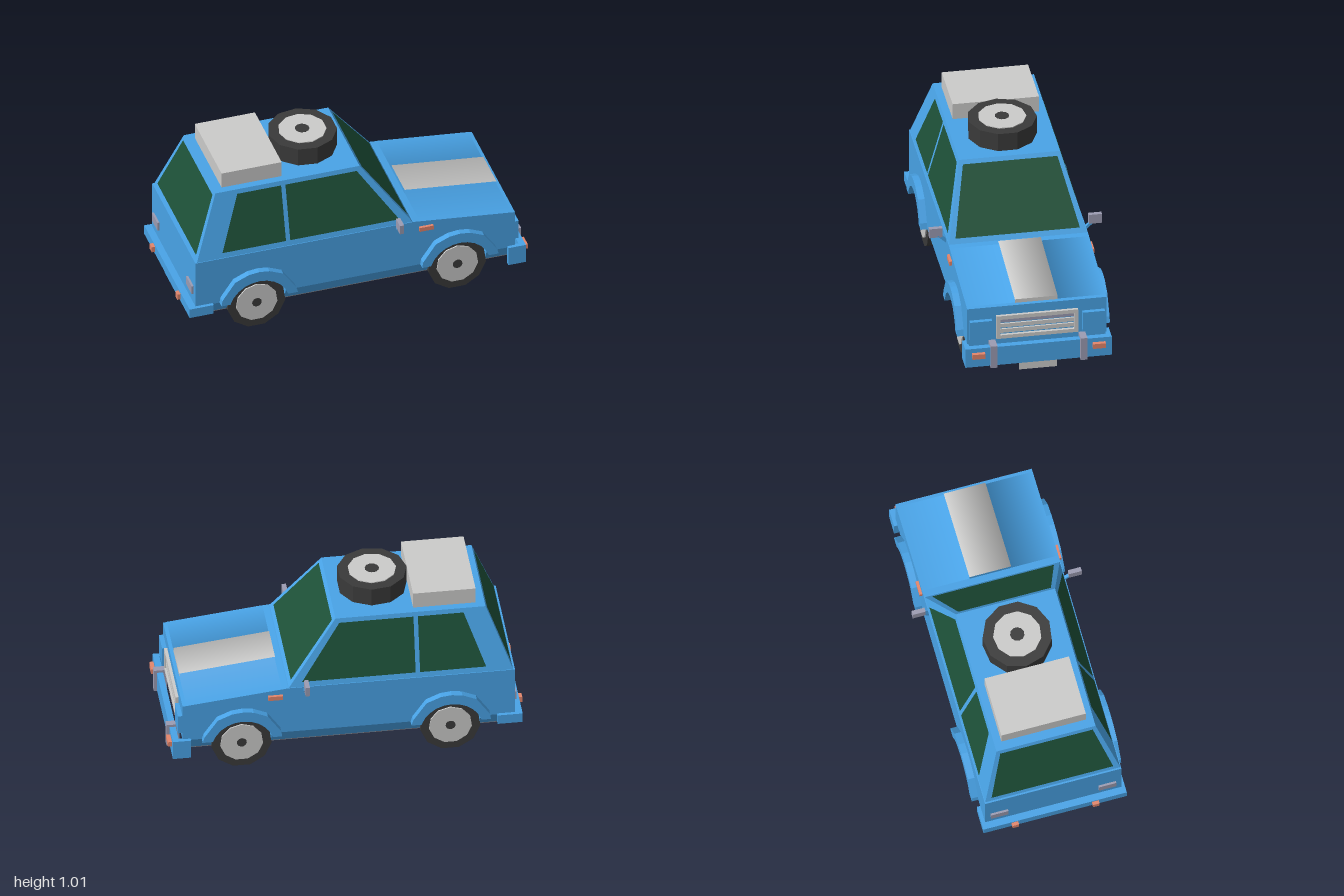
import * as THREE from 'three';

const mat = (name, color, side = THREE.FrontSide) => {
  const m = new THREE.MeshStandardMaterial({ color, side });
  m.name = name;
  return m;
};

export function createModel() {
  const car = new THREE.Group();
  car.name = 'car';
  const blue = mat('blue paint', 0x49a4e8);
  const glass = mat('green glass', 0x1d5038, THREE.DoubleSide);
  const white = mat('pale grey', 0xcbcbca);
  const rubber = mat('black rubber', 0x3a3a3a);
  const steel = mat('steel', 0x9c9cb2);
  const orange = mat('orange lens', 0xe3866c);
  const under = mat('dark underside', 0x87878f);

  const add = (name, geo, material, parent = car) => {
    const m = new THREE.Mesh(geo, material);
    m.name = name;
    parent.add(m);
    return m;
  };
  const box = (name, m, x0, x1, y0, y1, z0, z1) =>
    add(name, new THREE.BoxGeometry(x1 - x0, y1 - y0, z1 - z0)
      .translate((x0 + x1) / 2, (y0 + y1) / 2, (z0 + z1) / 2), m);
  const pair = (name, m, x0, x1, y0, y1, z0, z1) => {
    box(name + 'Left', m, x0, x1, y0, y1, z0, z1);
    box(name + 'Right', m, x0, x1, y0, y1, -z1, -z0);
  };
  // Box whose bottom and top rectangles differ: [x0, x1, halfWidth]
  const taper = (name, m, y0, y1, bottom, top) => {
    const g = new THREE.BoxGeometry(1, 1, 1), p = g.attributes.position;
    for (let i = 0; i < p.count; i++) {
      const r = p.getY(i) > 0 ? top : bottom;
      p.setXYZ(i, p.getX(i) < 0 ? r[0] : r[1], p.getY(i) > 0 ? y1 : y0, Math.sign(p.getZ(i)) * r[2]);
    }
    g.computeVertexNormals();
    return add(name, g, m);
  };
  const quad = (name, m, pts) => {
    const g = new THREE.BufferGeometry();
    g.setAttribute('position', new THREE.Float32BufferAttribute(pts.flat(), 3));
    g.setIndex([0, 1, 2, 0, 2, 3]);
    g.computeVertexNormals();
    return add(name, g, m);
  };
  const prism = (r, h, n) => {
    const g = new THREE.CylinderGeometry(r, r, h, n, 1, false, Math.PI / n).toNonIndexed();
    g.computeVertexNormals();
    return g;
  };
  const extrude = (shape, z0, z1) =>
    new THREE.ExtrudeGeometry(shape, { depth: z1 - z0, bevelEnabled: false, curveSegments: 5 }).translate(0, 0, z0);

  const wheelX = [-0.58, 0.588], wheelY = 0.163, archR = 0.176, sillY = 0.215;
  const startA = Math.asin((sillY - wheelY) / archR);
  const archPoints = (cx, r, a0, n = 10) => Array.from({ length: n + 1 }, (_, i) => {
    const a = Math.PI - a0 - (Math.PI - 2 * a0) * i / n;
    return new THREE.Vector2(cx + r * Math.cos(a), wheelY + r * Math.sin(a));
  });

  // Lower body with wheel arches
  const V = (x, y) => new THREE.Vector2(x, y);
  const side = new THREE.Shape([
    V(-0.94, sillY), ...archPoints(wheelX[0], archR, startA), ...archPoints(wheelX[1], archR, startA),
    V(0.92, sillY), V(0.92, 0.449), V(0.33, 0.515), V(-0.94, 0.515)]);
  add('body', extrude(side, -0.392, 0.392), blue);

  // Inward sloping sills and floor between the wheels
  const cut = 0.167;
  [[-0.95, wheelX[0] - cut], [wheelX[0] + cut, wheelX[1] - cut], [wheelX[1] + cut, 0.9]].forEach(([a, b]) => {
    taper('sill', blue, 0.14, sillY, [a, b, 0.355], [a, b, 0.392]);
    box('floor', under, a, b, 0.136, 0.14, -0.355, 0.355);
  });

  // Flared wheel arches
  wheelX.forEach(cx => {
    const outer = [[-0.22, 0.215], [-0.215, 0.25], [-0.14, 0.36], [-0.06, 0.395], [0, 0.402],
      [0.06, 0.395], [0.14, 0.36], [0.215, 0.25], [0.225, 0.215]].map(([x, y]) => V(cx + x, y));
    const flare = new THREE.Shape([...outer, ...archPoints(cx, archR, startA).reverse()]);
    add('archFlareLeft', extrude(flare, 0.385, 0.43), blue);
    add('archFlareRight', extrude(flare, -0.43, -0.385), blue);
  });

  // Cabin
  const y0 = 0.515, y1 = 0.89;
  taper('cabin', blue, y0, y1, [-0.93, 0.325, 0.388], [-0.79, 0.05, 0.285]);
  const lerp = (a, b, y) => a + (b - a) * (y - y0) / (y1 - y0);
  const windowPane = (name, pts) => [1, -1].forEach(s =>
    quad(name + (s > 0 ? 'Left' : 'Right'), glass,
      pts.map(([x, y]) => [x, y, s * (lerp(0.388, 0.285, y) + 0.003)])));
  windowPane('rearSideWindow', [[-0.78, 0.545], [-0.41, 0.545], [-0.41, 0.866], [-0.665, 0.866]]);
  windowPane('frontSideWindow', [[-0.385, 0.545], [0.25, 0.545], [0.03, 0.866], [-0.385, 0.866]]);
  const endPane = [[0.541, 0.35], [0.541, -0.35], [0.87, -0.266], [0.87, 0.266]];
  quad('windscreen', glass, endPane.map(([y, z]) => [lerp(0.325, 0.05, y) + 0.003, y, z]));
  quad('rearWindow', glass, endPane.map(([y, z]) => [lerp(-0.93, -0.79, y) - 0.003, y, z]));

  // Bonnet with a raised centre stripe, its normals rounded across the stripe edges
  const zs = [-0.39, -0.12, -0.12, 0.12, 0.12, 0.39], tilt = [0, -0.7, -0.7, 0.7, 0.7, 0];
  const section = (x, base, top) => zs.flatMap((z, i) => [x, i === 2 || i === 3 ? top : base, z]);
  const normals = tilt.flatMap(t => new THREE.Vector3(0.1, Math.sqrt(1 - t * t), t).normalize().toArray());
  const hood = new THREE.BufferGeometry();
  hood.setAttribute('position', new THREE.Float32BufferAttribute(
    [...section(0.365, 0.514, 0.536), ...section(0.9, 0.454, 0.474)], 3));
  hood.setAttribute('normal', new THREE.Float32BufferAttribute([...normals, ...normals], 3));
  const idx = [];
  for (let i = 0; i < 5; i++) {
    idx.push(i, i + 1, i + 7, i, i + 7, i + 6);
    hood.addGroup(i * 6, 6, i === 2 ? 1 : 0);
  }
  hood.setIndex(idx);
  add('bonnet', hood, [blue, white]);
  quad('stripeFront', white, [[0.9, 0.45, 0.12], [0.9, 0.45, -0.12], [0.9, 0.474, -0.12], [0.9, 0.474, 0.12]]);
  quad('stripeBack', blue, [[0.365, 0.51, -0.12], [0.365, 0.51, 0.12], [0.365, 0.536, 0.12], [0.365, 0.536, -0.12]]);

  // Wheels on thick full-width axles whose ends form the hubs
  wheelX.forEach(cx => {
    const set = new THREE.Group();
    set.name = 'wheelSet';
    set.position.set(cx, wheelY, 0);
    set.rotation.x = Math.PI / 2;
    car.add(set);
    add('axle', prism(0.121, 0.768, 11), white, set);
    add('hubCaps', prism(0.028, 0.774, 11), rubber, set);
    [1, -1].forEach(s => add('tyre', prism(0.17, 0.097, 11).translate(0, s * 0.328, 0), rubber, set));
  });

  // Roof load
  box('roofBox', white, -0.74, -0.39, 0.885, 0.986, -0.243, 0.243);
  const spare = new THREE.Group();
  spare.name = 'spareWheel';
  spare.position.set(-0.193, 0.944, 0);
  spare.rotation.y = Math.PI / 2;
  car.add(spare);
  add('spareTyre', prism(0.194, 0.11, 11), rubber, spare);
  add('spareHub', prism(0.135, 0.12, 11), white, spare);
  add('spareCap', prism(0.04, 0.124, 11), rubber, spare);

  // Grille and headlamp housings
  const rect = (C, z, a, b) => new C([V(-z, a), V(z, a), V(z, b), V(-z, b)]);
  const frame = rect(THREE.Shape, 0.23, 0.25, 0.395);
  frame.holes.push(rect(THREE.Path, 0.208, 0.272, 0.372));
  add('grilleFrame', extrude(frame, 0, 0.022).rotateY(Math.PI / 2).translate(0.915, 0, 0), white);
  box('grilleTopBar', steel, 0.915, 0.926, 0.348, 0.371, -0.208, 0.208);
  [0.317, 0.283].forEach(y => box('grilleBar', white, 0.915, 0.93, y, y + 0.024, -0.208, 0.208));
  pair('headlampHousing', blue, 0.915, 0.945, 0.258, 0.375, 0.255, 0.38);

  // Front bumper
  box('frontBumper', blue, 0.942, 0.977, 0.107, 0.224, -0.412, 0.412);
  pair('frontBumperEnd', blue, 0.875, 0.942, 0.107, 0.224, 0.385, 0.412);
  pair('overrider', steel, 0.92, 0.994, 0.1, 0.239, 0.234, 0.272);
  pair('frontIndicator', orange, 0.97, 1, 0.168, 0.198, 0.303, 0.375);
  box('frontPlate', white, 0.959, 0.96, 0.055, 0.107, -0.107, 0.107);

  // Rear bumper and lamps
  box('rearBumper', blue, -0.98, -0.938, 0.163, 0.221, -0.412, 0.412);
  pair('rearBumperEnd', blue, -0.938, -0.84, 0.163, 0.221, 0.385, 0.412);
  pair('rearReflector', orange, -1, -0.975, 0.179, 0.214, 0.213, 0.25);
  box('rearPlate', blue, -0.96, -0.959, 0.11, 0.165, -0.107, 0.107);
  pair('rearLamp', steel, -0.952, -0.935, 0.285, 0.338, 0.26, 0.36);

  // Side indicators and door mirrors
  pair('sideIndicator', orange, 0.36, 0.442, 0.45, 0.476, 0.385, 0.408);
  pair('mirror', steel, 0.22, 0.245, 0.52, 0.577, 0.412, 0.486);
  [1, -1].forEach(s => {
    const arm = add('mirrorArm', new THREE.BoxGeometry(0.018, 0.016, 0.075), blue);
    arm.position.set(0.236, 0.508, s * 0.408);
    arm.rotation.x = -s * 0.75;
  });
  return car;
}
